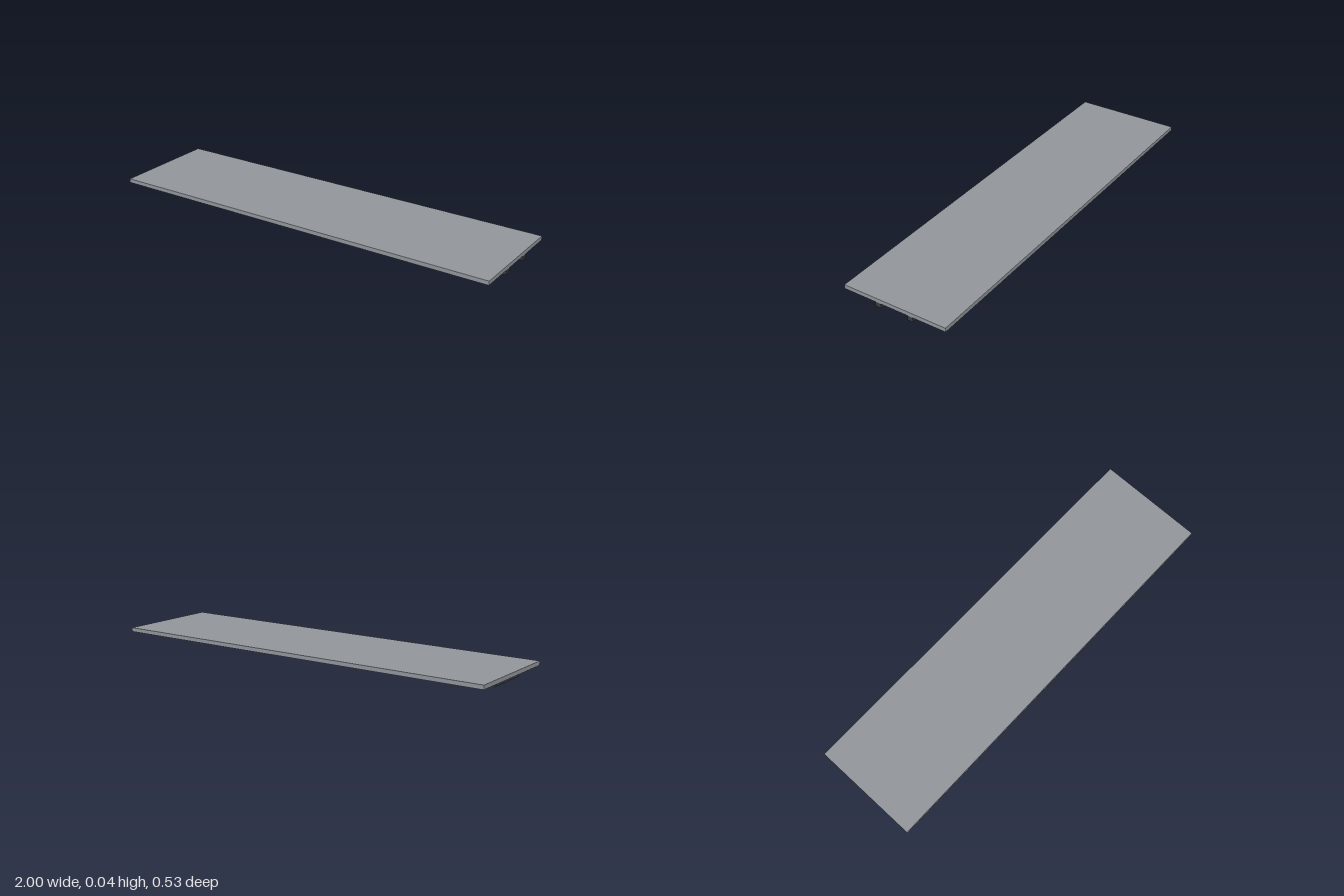
import * as THREE from 'three';

export function createModel() {
  const model = new THREE.Group();
  const panelGrey = new THREE.MeshStandardMaterial({ name: 'panelGrey', color: 0x92969b });
  const railDark = new THREE.MeshStandardMaterial({ name: 'railDark', color: 0x383d40 });

  // Adds a box given its limits on each axis
  const addBox = (name, material, [x0, x1], [y0, y1], [z0, z1]) => {
    const mesh = new THREE.Mesh(new THREE.BoxGeometry(x1 - x0, y1 - y0, z1 - z0), material);
    mesh.position.set((x0 + x1) / 2, (y0 + y1) / 2, (z0 + z1) / 2);
    mesh.name = name;
    model.add(mesh);
  };

  const railTop = 0.023;

  // Flat panel
  addBox('panel', panelGrey, [-1, 1], [railTop, 0.043], [-0.265, 0.265]);

  // Two long rails under the panel, flush with its left end
  addBox('leftRail', railDark, [-0.92, 1], [0, railTop], [0.07, 0.098]);
  addBox('rightRail', railDark, [-0.92, 1], [0, railTop], [-0.098, -0.07]);

  // Cross bar joining the rails, a little wider than them
  addBox('crossBar', railDark, [-0.975, -0.92], [0, railTop], [-0.105, 0.105]);

  return model;
}
